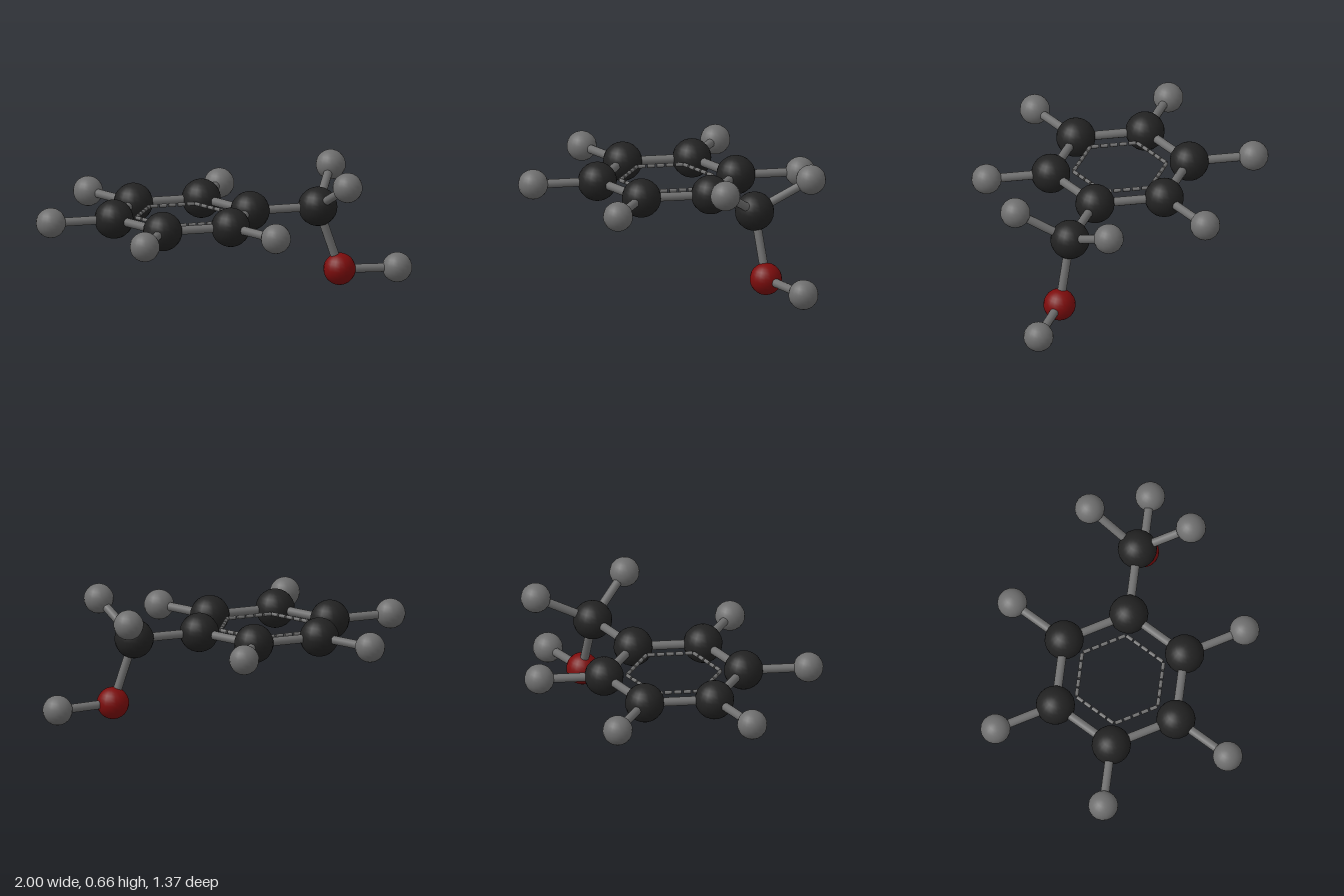
import * as THREE from 'three';

const mat = (name, color) => {
  const m = new THREE.MeshStandardMaterial({ color });
  m.name = name;
  return m;
};

export function createModel() {
  const model = new THREE.Group();
  model.name = 'molecule';
  const black = mat('carbon black', 0x222222);
  const grey = mat('hydrogen and bond grey', 0x6e6e6e);
  const red = mat('oxygen red', 0x7c0c0c);
  const V = (x, y, z) => new THREE.Vector3(x, y, z);
  const up = V(0, 1, 0);

  const addAtom = (name, pos, radius, material) => {
    const atom = new THREE.Mesh(new THREE.SphereGeometry(radius, 18, 14), material);
    atom.name = name;
    atom.position.copy(pos);
    model.add(atom);
    return pos;
  };
  const carbon = (name, p) => addAtom(name, p, 0.102, black);
  const hydrogen = (name, p) => addAtom(name, p, 0.078, grey);

  // Cylinder running from a to b
  const addRod = (name, a, b, radius, parent = model) => {
    const dir = b.clone().sub(a);
    const rod = new THREE.Mesh(new THREE.CylinderGeometry(radius, radius, dir.length(), 12), grey);
    rod.name = name;
    rod.position.copy(a).lerp(b, 0.5);
    rod.quaternion.setFromUnitVectors(up, dir.normalize());
    parent.add(rod);
  };
  const bond = (a, b) => addRod('bond', a, b, 0.023);

  // Flat six-sided ring with outer hydrogens on five corners
  const centreX = -0.225, ringY = 0.426;
  const corner = (i, r) => {
    const a = (i * Math.PI) / 3;
    return V(centreX + r * Math.cos(a), ringY, r * Math.sin(a));
  };
  for (let i = 0; i < 6; i++) {
    const c = carbon('ringCarbon', corner(i, 0.363));
    bond(c, corner(i + 1, 0.363));
    if (i > 0) bond(c, hydrogen('ringHydrogen', corner(i, 0.7)));
  }

  // Dashed inner hexagon
  const dashes = new THREE.Group();
  dashes.name = 'dashedInnerRing';
  model.add(dashes);
  const perSide = 5;
  for (let i = 0; i < 6; i++) {
    const a = corner(i, 0.245), b = corner(i + 1, 0.245);
    for (let k = 0; k < perSide; k++) {
      addRod('dash', a.clone().lerp(b, (k + 0.1) / perSide),
        a.clone().lerp(b, (k + 0.9) / perSide), 0.01, dashes);
    }
  }

  // Side chain: carbon, two raised hydrogens, lower oxygen and its hydrogen
  const sideCarbon = carbon('sideCarbon', V(0.5, 0.427, 0));
  bond(corner(0, 0.363), sideCarbon);
  bond(sideCarbon, hydrogen('frontSideHydrogen', V(0.592, 0.586, 0.268)));
  bond(sideCarbon, hydrogen('backSideHydrogen', V(0.635, 0.578, -0.266)));
  const oxygen = addAtom('oxygen', V(0.612, 0.09, 0.015), 0.084, red);
  bond(sideCarbon, oxygen);
  bond(oxygen, hydrogen('oxygenHydrogen', V(0.92, 0.08, 0.014)));

  return model;
}
